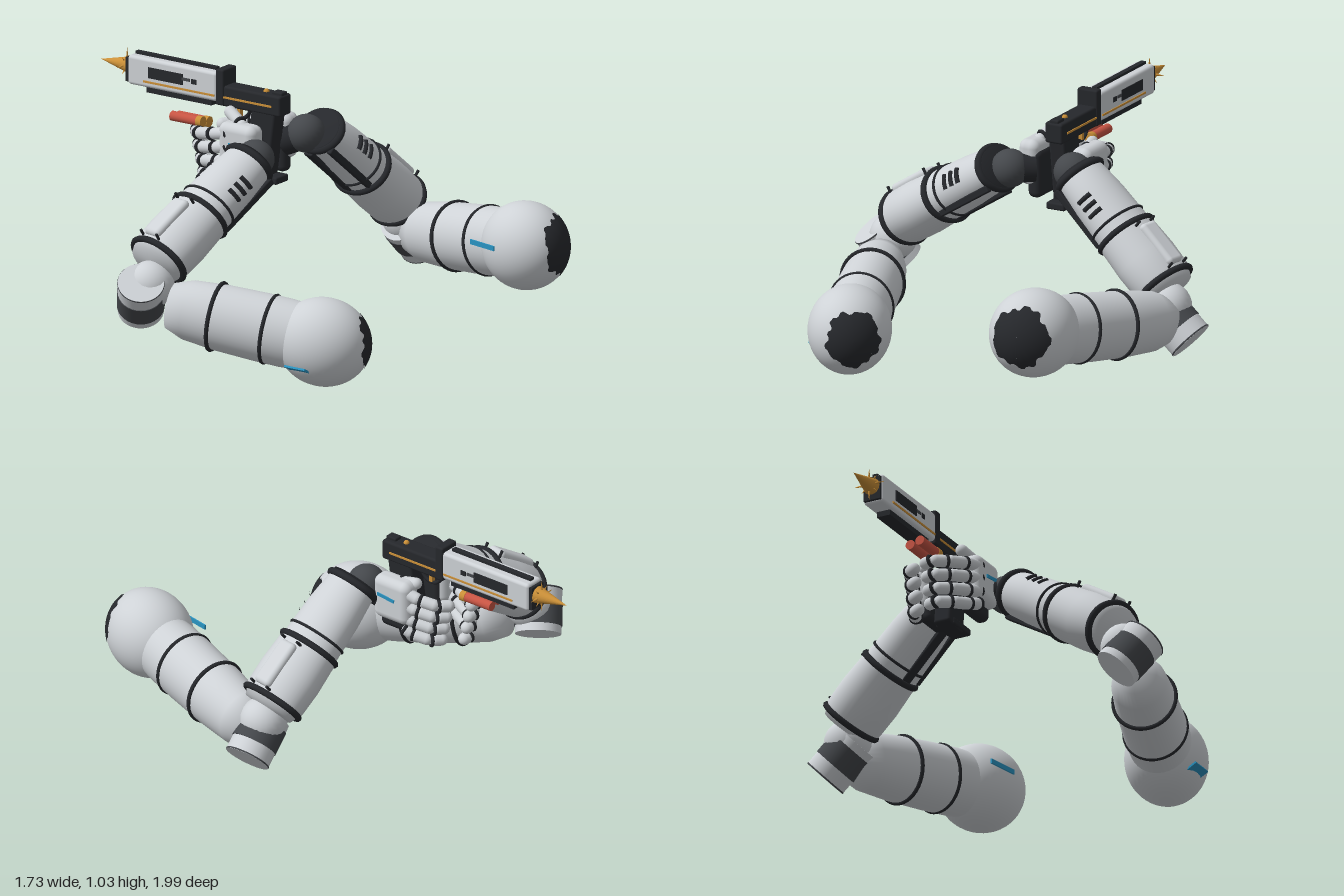
import * as THREE from 'three';
import { RoundedBoxGeometry } from 'three/addons/geometries/RoundedBoxGeometry.js';

const mat = (name, color) => Object.assign(new THREE.MeshStandardMaterial({ color }), { name });
const V = (a) => new THREE.Vector3(...a);

export function createModel() {
  const shell = mat('light shell', 0xced2d6);
  const dark = mat('charcoal', 0x26282c);
  const joint = mat('joint grey', 0x45484c);
  const gold = mat('gold', 0xcb9038);
  const red = mat('red', 0xc85544);
  const blue = mat('blue', 0x2a94c2);
  const model = new THREE.Group();

  const add = (parent, name, geo, material, p = [0, 0, 0]) => {
    const m = new THREE.Mesh(geo, material);
    m.name = name;
    m.position.set(...p);
    parent.add(m);
    return m;
  };
  const box = (parent, name, size, p, material, r = 0) => add(parent, name,
    r ? new RoundedBoxGeometry(...size, 3, r) : new THREE.BoxGeometry(...size), material, p);
  const ball = (parent, name, r, p, material) => add(parent, name, new THREE.SphereGeometry(r, 24, 16), material, p);

  // Group whose y axis runs from a to b and whose x axis points as far up as it can
  const limb = (name, a, b) => {
    const g = new THREE.Group();
    const y = V(b).sub(V(a)).normalize();
    const x = new THREE.Vector3(0, 1, 0).addScaledVector(y, -y.y).normalize();
    g.quaternion.setFromRotationMatrix(new THREE.Matrix4().makeBasis(x, y, x.clone().cross(y)));
    g.position.set(...a);
    g.name = name;
    model.add(g);
    return { g, len: V(a).distanceTo(V(b)) };
  };
  // Oval tube along y from [radius, height] points
  const tube = (parent, name, pts, wide, material) => {
    const m = add(parent, name, new THREE.LatheGeometry(pts.map(p => new THREE.Vector2(...p)), 40), material);
    m.scale.z = wide;
    return m;
  };
  // Ring or partial ring round y, centred on an angle measured from up
  const band = (parent, name, r, t, y, wide, material, arc = Math.PI * 2, mid = 0) => {
    const geo = new THREE.TorusGeometry(r, t, 8, 40, arc).rotateZ(mid - arc / 2).rotateX(-Math.PI / 2);
    add(parent, name, geo, material, [0, y, 0]).scale.z = wide;
  };
  const rod = (parent, name, a, b, r, material) => {
    const { g, len } = limb(name, a, b);
    parent.add(g);
    add(g, name, new THREE.CylinderGeometry(r, r, len, 32), material, [0, len / 2, 0]);
    return { g, len };
  };

  // Shoulder and upper arm
  const upperArm = (shoulder, elbow, patchDir, patchSize, bands) => {
    const { g, len } = limb('upperArm', shoulder, elbow);
    const s = new THREE.Group();
    s.name = 'shoulder';
    s.scale.set(0.18, 0.194, 0.168);
    g.add(s);
    add(s, 'shoulderBall', new THREE.SphereGeometry(1, 48, 32), shell);
    // Patch with a stepped, worn edge
    const geo = new THREE.SphereGeometry(1.012, 64, 12, 0, Math.PI * 2, 0, patchSize);
    const pos = geo.attributes.position, v = new THREE.Vector3();
    for (let i = 0; i < pos.count; i++) {
      v.fromBufferAttribute(pos, i);
      const phi = Math.atan2(v.z, v.x);
      const k = 1 + 0.05 * Math.sign(Math.sin(phi * 5)) + 0.04 * Math.sign(Math.sin(phi * 13));
      v.setFromSphericalCoords(1.012, Math.acos(Math.min(1, v.y / 1.012)) * k, Math.atan2(v.x, v.z));
      pos.setXYZ(i, v.x, v.y, v.z);
    }
    geo.computeVertexNormals();
    const d = V(patchDir).normalize().applyQuaternion(g.quaternion.clone().invert());
    add(s, 'shoulderPatch', geo, dark).quaternion.setFromUnitVectors(new THREE.Vector3(0, 1, 0), d);
    tube(g, 'upperArmShell', [[0.135, 0.08], [0.14, 0.16], [0.14, len * 0.4], [0.135, len * 0.65],
      [0.122, len * 0.86], [0.095, len * 0.97], [0, len]], 0.92, shell);
    bands.forEach(t => band(g, 'armBand', 0.137, 0.009, len * t, 0.93, dark));
  };
  upperArm([0.487, 0.40, 0.80], [0.70, 0.29, 0.08], [0.17, 0.13, 0.95], 0.72, [0.32, 0.6]);
  upperArm([-0.51, 0.187, 0.53], [-0.71, 0.28, -0.1], [0.58, 0.03, 0.78], 0.68, [0.34, 0.68]);

  // Elbow drums: grey inner half, light outer half
  const elbow = (a, b, pivot) => {
    ball(model, 'elbowPivot', 0.097, pivot, shell);
    const { g, len } = rod(model, 'elbowDrum', a, b, 0.093, shell);
    add(g, 'drumSleeve', new THREE.CylinderGeometry(0.096, 0.096, len * 0.5, 32), joint, [0, len * 0.42, 0]);
    band(g, 'elbowRim', 0.091, 0.004, len - 0.004, 1, joint);
  };
  elbow([0.65, 0.34, 0.07], [0.79, 0.21, 0.065], [0.685, 0.34, 0.065]);
  elbow([-0.70, 0.235, -0.235], [-0.795, 0.38, -0.165], [-0.71, 0.35, -0.18]);

  // Forearm: cuff, inner shell, ring, outer shell with pad
  const forearm = (wrist, end, side) => {
    const { g, len } = limb('forearm', wrist, end);
    const w = 1.2;
    tube(g, 'wristPlug', [[0, -0.002], [0.088, -0.002], [0.088, 0.02]], w, dark);
    tube(g, 'innerShell', [[0.07, 0], [0.09, 0.02], [0.102, len * 0.25], [0.107, len * 0.52]], w, shell);
    tube(g, 'outerShell', [[0.112, len * 0.54], [0.118, len * 0.75], [0.115, len * 0.92], [0.095, len], [0, len + 0.01]], w, shell);
    band(g, 'wristCuff', 0.088, 0.016, 0.02, w, dark);
    band(g, 'middleRing', 0.108, 0.014, len * 0.53, w, dark);
    band(g, 'thinRing', 0.106, 0.006, len * 0.44, w, dark);
    band(g, 'elbowRing', 0.108, 0.014, len * 0.95, w, dark);
    for (let i = 0; i < 3; i++)
      band(g, 'slot', 0.102, 0.01, len * (0.22 + i * 0.06), w, dark, 0.6, side * 1.2);
    box(g, 'pad', [0.04, len * 0.33, 0.085], [0.114, len * 0.75, 0], shell, 0.019);
    [0.57, 0.92].forEach(t => [-0.045, 0.045].forEach(z =>
      add(g, 'pin', new THREE.CylinderGeometry(0.006, 0.006, 0.04, 8).rotateZ(Math.PI / 2), dark, [0.115, len * t, z])));
    // Dark rails along the underside and lower front
    box(g, 'underRail', [0.02, len * 0.48, 0.045], [-0.102, len * 0.27, 0], dark, 0.006);
    box(g, 'frontRail', [0.03, len * 0.47, 0.025], [-0.065, len * 0.27, -side * 0.096], dark, 0.006);
  };
  forearm([0.215, 0.805, -0.03], [0.68, 0.40, 0.045], 1);
  forearm([-0.16, 0.755, -0.08], [-0.68, 0.425, -0.185], -1);

  // Back slots of the right forearm
  const { g: backSlots } = limb('backSlots', [-0.16, 0.755, -0.08], [-0.68, 0.425, -0.185]);
  [0.13, 0.165, 0.2].forEach(y => band(backSlots, 'slot', 0.103, 0.008, y, 1.2, dark, 0.45, 0.75));

  // Jointed finger through a row of points
  const finger = (pts, r) => pts.slice(1).forEach((p, i) => {
    const { g, len } = limb('fingerSegment', pts[i], p);
    add(g, 'fingerShell', new THREE.CapsuleGeometry(r, Math.max(len - r * 1.4, 0.01), 6, 16), shell, [0, len / 2, 0]);
    band(g, 'fingerJoint', r * 0.85, r * 0.3, 0.002, 1, dark);
  });

  // Hands
  const hand = (side, cx, wrist) => {
    const g = new THREE.Group();
    g.name = side > 0 ? 'leftHand' : 'rightHand';
    model.add(g);
    ball(g, 'wristJoint', 0.078, wrist, joint);
    rod(g, 'wristLink', wrist, [cx - side * 0.02, 0.75, -0.15], 0.06, dark);
    box(g, 'palm', [0.09, 0.19, 0.18], [cx, 0.77, -0.205], shell, 0.035);
    box(g, 'palmLiner', [0.06, 0.2, 0.15], [cx - side * 0.025, 0.725, -0.2], dark, 0.025);
    box(g, 'handMark', [0.006, 0.014, 0.085], [cx + side * 0.046, 0.785, -0.19], blue).rotation.x = -0.12;
  };
  hand(1, 0.175, [0.18, 0.79, -0.06]);
  hand(-1, -0.065, [-0.125, 0.75, -0.09]);
  for (let i = 0; i < 4; i++) {
    const y = 0.82 - i * 0.055, k = i * 0.012;
    finger([[0.188, y, -0.26], [0.177, y - 0.02, -0.33 + k], [0.15, y - 0.035, -0.40 + k], [0.10, y - 0.04, -0.435 + k]], 0.025);
    finger([[-0.085, y, -0.25], [-0.075, y - 0.02, -0.34 + k], [-0.04, y - 0.04, -0.43 + k],
      [0.005, y - 0.05, -0.48 + k], [0.05, y - 0.055, -0.475 + k]], 0.025);
  }
  finger([[-0.07, 0.81, -0.16], [-0.05, 0.86, -0.22], [-0.02, 0.895, -0.30]], 0.025);
  finger([[0.17, 0.81, -0.16], [0.155, 0.84, -0.22], [0.14, 0.85, -0.30]], 0.024);

  // Pistol
  const gun = new THREE.Group();
  gun.name = 'pistol';
  gun.position.x = 0.075;
  model.add(gun);
  box(gun, 'barrelShroud', [0.09, 0.122, 0.44], [0, 0.957, -0.615], shell, 0.014);
  box(gun, 'topRail', [0.022, 0.022, 0.4], [0, 1.018, -0.62], dark);
  box(gun, 'muzzlePlate', [0.075, 0.1, 0.02], [0, 0.955, -0.838], dark);
  box(gun, 'underRail', [0.06, 0.03, 0.32], [0, 0.888, -0.59], dark);
  box(gun, 'receiver', [0.08, 0.085, 0.31], [0, 0.925, -0.24], dark, 0.01);
  box(gun, 'rearSight', [0.092, 0.15, 0.04], [0, 0.96, -0.38], dark, 0.008);
  box(gun, 'hammer', [0.04, 0.03, 0.05], [0, 0.965, -0.115], dark, 0.006);
  ball(gun, 'goldStud', 0.012, [0, 0.968, -0.18], gold);
  [-1, 1].forEach(s => {
    box(gun, 'sideWindow', [0.006, 0.045, 0.17], [s * 0.0455, 0.962, -0.645], dark);
    box(gun, 'windowLip', [0.006, 0.012, 0.04], [s * 0.0455, 0.965, -0.545], joint);
    box(gun, 'slot', [0.006, 0.02, 0.025], [s * 0.0455, 0.962, -0.505], dark);
    box(gun, 'goldLine', [0.006, 0.008, 0.35], [s * 0.0455, 0.922, -0.58], gold);
    box(gun, 'goldReceiverLine', [0.006, 0.008, 0.25], [s * 0.041, 0.922, -0.25], gold);
  });
  const grip = box(gun, 'grip', [0.075, 0.32, 0.12], [0, 0.755, -0.19], dark, 0.012);
  grip.rotation.x = 0.14;
  box(gun, 'gripBase', [0.085, 0.03, 0.14], [0, 0.615, -0.17], dark, 0.008);
  add(gun, 'triggerGuard', new THREE.TorusGeometry(0.05, 0.008, 8, 24, Math.PI).rotateZ(Math.PI).rotateY(Math.PI / 2), dark, [0, 0.885, -0.31]);
  box(gun, 'trigger', [0.02, 0.05, 0.015], [0, 0.865, -0.31], gold);
  // Gold spike and its star
  add(gun, 'spike', new THREE.ConeGeometry(0.036, 0.15, 24).rotateX(-Math.PI / 2), gold, [0, 0.963, -0.922]);
  for (let i = 0; i < 4; i++) [0, Math.PI].forEach(a => {
    const len = i % 2 ? 0.05 : 0.07;
    add(gun, 'starPoint', new THREE.ConeGeometry(0.009, len, 6).translate(0, len / 2, 0), gold, [0, 0.963, -0.868])
      .rotation.z = a + i * Math.PI / 4;
  });

  // Red cartridges with gold ends
  [[-0.002, 0.815], [0.042, 0.805]].forEach(([x, y]) => {
    rod(model, 'cartridge', [x, y, -0.46], [x, y, -0.59], 0.02, red);
    rod(model, 'cartridgeCap', [x, y, -0.437], [x, y, -0.462], 0.022, gold);
  });

  // Blue shoulder marks
  box(model, 'shoulderMark', [0.006, 0.02, 0.14], [0.33, 0.42, 0.7], blue).rotation.y = -0.2;
  box(model, 'shoulderMark', [0.05, 0.008, 0.1], [-0.66, 0.103, 0.51], blue).rotation.z = -0.5;
  return model;
}
